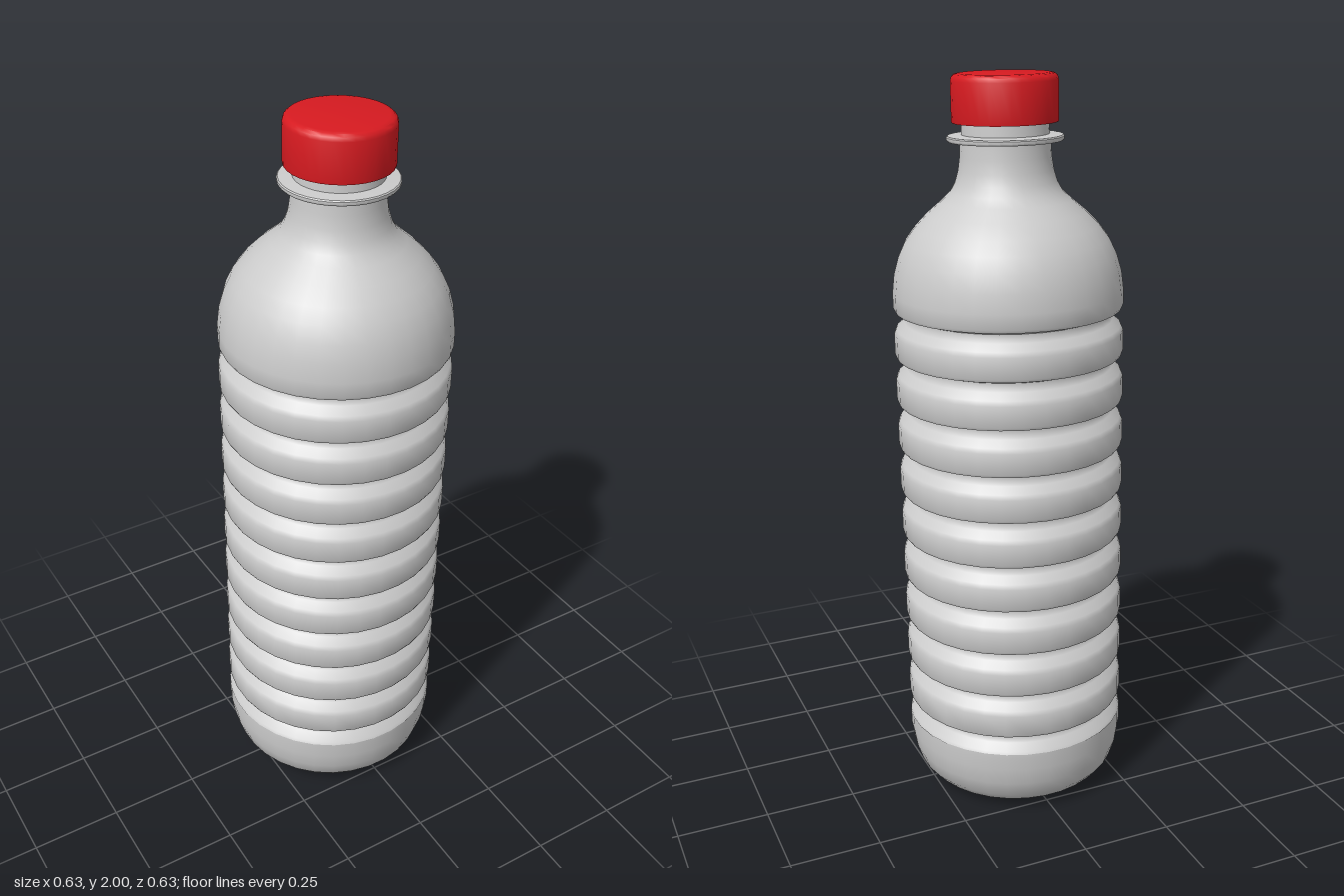
import * as THREE from 'three';
import { toCreasedNormals } from 'three/addons/utils/BufferGeometryUtils.js';

const SIDES = 32;

// Turned part from [radius, height] pairs, listed from bottom to top
function turned(name, profile, color) {
  const points = profile.map(([r, y]) => new THREE.Vector2(r, y));
  const lathe = new THREE.LatheGeometry(points, SIDES, Math.PI / SIDES);
  const mesh = new THREE.Mesh(
    toCreasedNormals(lathe, 0.65),
    new THREE.MeshStandardMaterial({ color, side: THREE.DoubleSide })
  );
  mesh.name = name;
  return mesh;
}

export function createModel() {
  const bottle = new THREE.Group();
  bottle.name = 'bottle';

  // Rounded base
  const body = [
    [0, 0.004], [0.19, 0.004], [0.225, 0.012], [0.262, 0.028],
    [0.285, 0.055], [0.3, 0.1], [0.308, 0.15], [0.308, 0.198],
  ];

  // Ten grooves: a long slope inward below, a sharp ledge above
  for (let i = 0; i < 10; i++) {
    const y = 0.238 + i * 0.1267;
    body.push(
      [0.308, y - 0.048], [0.302, y - 0.035], [0.28, y - 0.018], [0.273, y - 0.008],
      [0.273, y + 0.004], [0.28, y + 0.01], [0.304, y + 0.014], [0.308, y + 0.022]
    );
  }

  // Domed shoulder and neck
  body.push(
    [0.308, 1.44], [0.302, 1.49], [0.289, 1.535], [0.27, 1.575], [0.244, 1.61],
    [0.21, 1.645], [0.172, 1.677], [0.148, 1.7], [0.134, 1.725], [0.125, 1.755],
    [0.12, 1.79], [0.118, 1.826]
  );
  bottle.add(turned('body', body, 0xcccccc));

  // Neck support ring and the finish that enters the cap
  bottle.add(turned('neckRing', [
    [0.118, 1.826], [0.15, 1.829], [0.153, 1.833], [0.153, 1.84],
    [0.15, 1.843], [0.115, 1.846], [0.113, 1.885],
  ], 0xcccccc));

  // Cap with a softened top edge
  bottle.add(turned('cap', [
    [0.108, 1.876], [0.138, 1.876], [0.139, 1.882], [0.139, 1.98],
    [0.136, 1.99], [0.129, 1.996], [0.118, 1.998], [0, 1.998],
  ], 0xd71a20));

  // The bottle leans very slightly
  bottle.rotation.set(0.012, 0, -0.012);
  bottle.position.set(-0.01, 0, -0.009);

  const model = new THREE.Group();
  model.add(bottle);
  return model;
}
